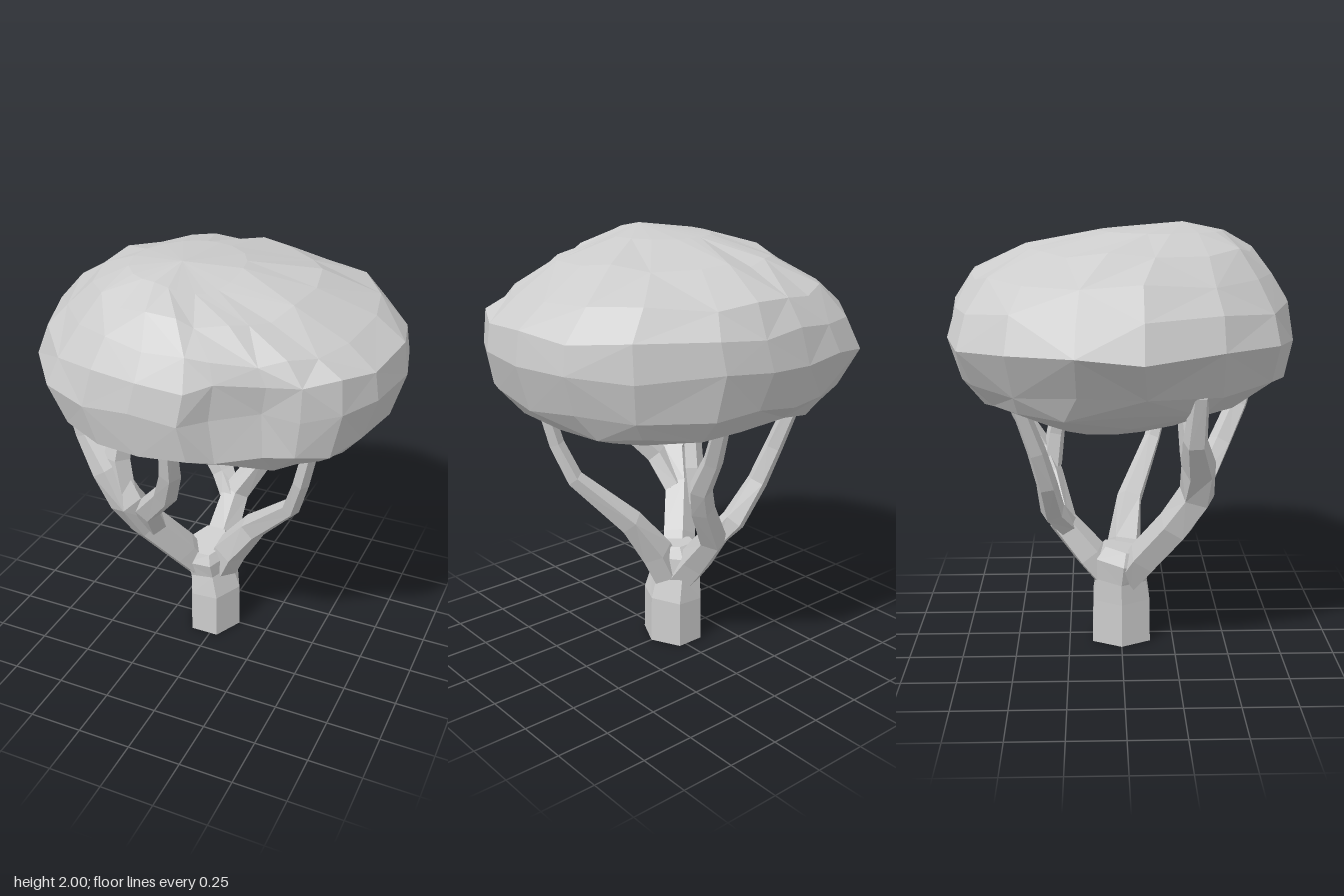
import * as THREE from 'three';

const grey = new THREE.MeshStandardMaterial({ color: 0xcccccc });
grey.name = 'plain grey';

// Skin a stack of rings (equal point counts, counterclockwise seen from the far end) with faceted faces and closed ends
function loft(name, rings, startTip, endTip) {
  const pos = [];
  const tri = (...corners) => corners.forEach((p) => pos.push(p.x, p.y, p.z));
  const n = rings[0].length;
  for (let i = 0; i < rings.length - 1; i++) {
    for (let j = 0; j < n; j++) {
      const k = (j + 1) % n;
      const a = rings[i][j], b = rings[i][k], c = rings[i + 1][k], d = rings[i + 1][j];
      if ((i + j) % 2) { tri(a, b, c); tri(a, c, d); } else { tri(a, b, d); tri(b, c, d); }
    }
  }
  const last = rings[rings.length - 1];
  for (let j = 0; j < n; j++) {
    const k = (j + 1) % n;
    tri(startTip, rings[0][k], rings[0][j]);
    tri(endTip, last[j], last[k]);
  }
  const geo = new THREE.BufferGeometry();
  geo.setAttribute('position', new THREE.Float32BufferAttribute(pos, 3));
  geo.computeVertexNormals();
  const mesh = new THREE.Mesh(geo, grey);
  mesh.name = name;
  return mesh;
}

// Tapered angular limb through points [x, y, z, radius]; depth widens it front to back
function limb(name, path, sides, depth = 1) {
  const pts = path.map((p) => new THREE.Vector3(p[0], p[1], p[2]));
  const rings = pts.map((p, i) => {
    const t = pts[Math.min(i + 1, pts.length - 1)].clone().sub(pts[Math.max(i - 1, 0)]).normalize();
    const u = new THREE.Vector3(1, 0, 0).addScaledVector(t, -t.x).normalize();
    const v = t.clone().cross(u).multiplyScalar(depth);
    return Array.from({ length: sides }, (_, j) => {
      const a = (j / sides) * Math.PI * 2;
      return p.clone().addScaledVector(u, Math.cos(a) * path[i][3]).addScaledVector(v, Math.sin(a) * path[i][3]);
    });
  });
  return loft(name, rings, pts[0], pts[pts.length - 1]);
}

function createCanopy() {
  // Widest outline as [x, z], with the notch at the front
  const outline = [
    [0.84, -0.05], [0.78, -0.30], [0.61, -0.53], [0.30, -0.72], [0.08, -0.76], [-0.12, -0.765], [-0.32, -0.75],
    [-0.52, -0.69], [-0.69, -0.48], [-0.82, -0.20], [-0.84, 0.07], [-0.70, 0.40], [-0.50, 0.65], [-0.28, 0.74],
    [-0.06, 0.765], [0.15, 0.76], [0.24, 0.66], [0.42, 0.55], [0.57, 0.52], [0.71, 0.42], [0.80, 0.24],
  ].map(([x, z]) => [x / 0.84, z / 0.765]);
  // Levels: y, min x, max x, min z, max z, blend from outline to plain oval, squareness power of the oval
  const levels = [
    [1.13, -0.44, 0.27, -0.32, 0.17, 1, 0.8],
    [1.18, -0.54, 0.54, -0.45, 0.36, 1, 0.72],
    [1.245, -0.64, 0.68, -0.63, 0.55, 0.85, 0.74],
    [1.34, -0.72, 0.78, -0.72, 0.74, 0.25, 0.8],
    [1.52, -0.84, 0.84, -0.765, 0.765, 0, 1],
    [1.66, -0.77, 0.82, -0.74, 0.745, 0.25, 0.95],
    [1.78, -0.65, 0.69, -0.67, 0.68, 0.8, 0.95],
    [1.89, -0.50, 0.45, -0.43, 0.58, 1, 0.95],
    [1.965, -0.31, 0.17, -0.10, 0.45, 1, 1],
  ];
  const bend = (v, power) => Math.sign(v) * Math.abs(v) ** power;
  const rings = levels.map(([y, x0, x1, z0, z1, oval, power], i) => outline.map(([x, z], j) => {
    const a = Math.atan2(z, x);
    const px = THREE.MathUtils.lerp(x, bend(Math.cos(a), power), oval);
    const pz = THREE.MathUtils.lerp(z, bend(Math.sin(a), power), oval);
    // Slight unevenness in height, for irregular facets
    const bump = i > 1 && i < 8 ? 0.014 * Math.sin(j * 2.3 + i * 1.7) : 0;
    // The crown falls away towards the front +x corner
    const drop = i > 5 ? 0.09 * Math.max(px, 0) * Math.max(pz, 0) : 0;
    return new THREE.Vector3((x0 + x1 + px * (x1 - x0)) / 2, y + bump - drop, (z0 + z1 + pz * (z1 - z0)) / 2);
  }));
  return loft('canopy', rings, new THREE.Vector3(-0.2, 1.1, -0.1), new THREE.Vector3(-0.05, 2, 0.27));
}

export function createModel() {
  const tree = new THREE.Group();
  tree.name = 'tree';
  tree.add(createCanopy());
  tree.add(limb('trunk', [
    [-0.03, 0, 0, 0.135], [-0.03, 0.22, 0, 0.132], [-0.05, 0.33, 0, 0.115], [-0.06, 0.42, 0.01, 0.125], [-0.06, 0.475, 0.02, 0.095],
  ], 6, 1.18));

  const limbs = {
    // Front left limb and its forks
    frontLeftLimb: [[-0.07, 0.3, 0.02, 0.07], [-0.16, 0.46, 0.11, 0.085], [-0.28, 0.66, 0.24, 0.085],
      [-0.33, 0.82, 0.33, 0.085], [-0.42, 0.97, 0.33, 0.08], [-0.54, 1.12, 0.3, 0.055], [-0.61, 1.34, 0.31, 0.04]],
    frontLeftTwig: [[-0.34, 0.85, 0.33, 0.06], [-0.38, 1.03, 0.31, 0.065], [-0.35, 1.24, 0.28, 0.05]],
    frontLimb: [[-0.24, 0.66, 0.24, 0.06], [-0.21, 0.81, 0.35, 0.06], [-0.06, 0.99, 0.46, 0.055],
      [0.01, 1.16, 0.545, 0.05], [0.04, 1.38, 0.62, 0.04]],
    // Limb reaching to the +x side
    sideLimb: [[0, 0.32, 0, 0.08], [0.06, 0.46, 0.02, 0.085], [0.19, 0.64, 0.05, 0.065],
      [0.42, 0.88, 0.17, 0.043], [0.48, 1.05, 0.22, 0.038], [0.54, 1.3, 0.25, 0.035]],
    // Back limb and its forks
    backLimb: [[-0.04, 0.3, -0.04, 0.08], [-0.05, 0.44, -0.15, 0.08], [-0.04, 0.6, -0.28, 0.07],
      [0.08, 0.8, -0.335, 0.06], [0.13, 0.92, -0.38, 0.055], [0.15, 1.08, -0.48, 0.045], [0.2, 1.32, -0.6, 0.035]],
    backInnerTwig: [[0.1, 0.84, -0.33, 0.05], [0.11, 1.0, -0.31, 0.045], [0.08, 1.24, -0.25, 0.04]],
    backLeftLimb: [[-0.05, 0.57, -0.25, 0.055], [-0.13, 0.68, -0.32, 0.06], [-0.26, 0.85, -0.34, 0.05],
      [-0.32, 1.02, -0.38, 0.045], [-0.38, 1.3, -0.47, 0.035]],
  };
  for (const [name, path] of Object.entries(limbs)) tree.add(limb(name, path, 5));
  return tree;
}
